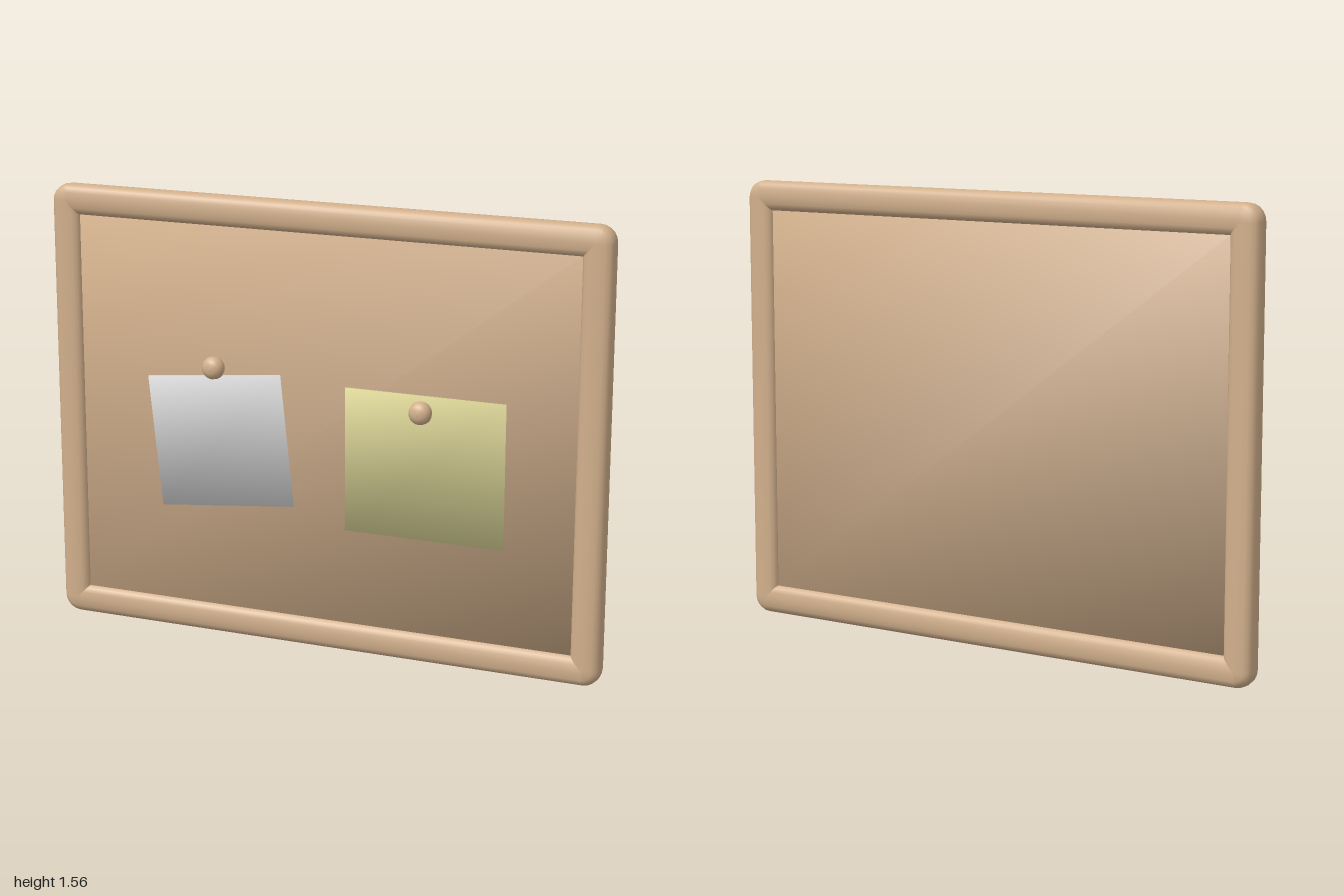
import * as THREE from 'three';
import { toCreasedNormals } from 'three/addons/utils/BufferGeometryUtils.js';

const material = (name, color) => {
  const m = new THREE.MeshStandardMaterial({ color });
  m.name = name;
  return m;
};

// Padded rail section swept around a rectangle: rounded outside, mitred inside
function frameGeometry(halfX, halfY, railWidth, depth) {
  const sides = 16, steps = 5, ring = 4 * (steps + 1);
  const squash = (v) => Math.sign(v) * Math.abs(v) ** 0.72;
  const pos = [], index = [];
  for (let i = 0; i < sides; i++) {
    const a = (i / sides) * Math.PI * 2;
    const inset = (railWidth / 2) * (1 - squash(Math.cos(a)));
    const z = (depth / 2) * squash(Math.sin(a));
    const r = Math.max(0.06 - inset, 0.002);
    for (let c = 0; c < 4; c++) {
      const sx = c === 0 || c === 3 ? 1 : -1, sy = c < 2 ? 1 : -1;
      for (let s = 0; s <= steps; s++) {
        const t = (c + s / steps) * Math.PI / 2;
        pos.push(sx * (halfX - inset - r) + r * Math.cos(t),
          sy * (halfY - inset - r) + r * Math.sin(t), z);
      }
    }
    for (let j = 0; j < ring; j++) {
      const n = (j + 1) % ring, k = ((i + 1) % sides) * ring, b = i * ring;
      index.push(b + j, b + n, k + j, b + n, k + n, k + j);
    }
  }
  const g = new THREE.BufferGeometry();
  g.setAttribute('position', new THREE.Float32BufferAttribute(pos, 3));
  g.setIndex(index);
  g.computeVertexNormals();
  return g;
}

// Thin slab with softly blended edges
const slab = (w, h, d) => toCreasedNormals(new THREE.BoxGeometry(w, h, d), Math.PI);

export function createModel() {
  const group = new THREE.Group();
  const wood = material('tan wood', 0xd2b08c);
  const white = material('white paper', 0xe2e2e2);
  const yellow = material('yellow paper', 0xe4de9e);

  const add = (name, geometry, mat, x, y, z) => {
    const mesh = new THREE.Mesh(geometry, mat);
    mesh.name = name;
    mesh.position.set(x, y, z);
    group.add(mesh);
    return mesh;
  };

  // Frame and board
  add('frame', frameGeometry(1, 0.78, 0.106, 0.09), wood, 0, 0.78, -0.023);
  add('board', slab(1.8, 1.36, 0.044), wood, 0, 0.78, -0.023);

  // Pinned notes
  add('leftNote', slab(0.498, 0.465, 0.006), white, -0.373, 0.705, 0.002).rotation.z = 0.105;
  add('rightNote', slab(0.565, 0.503, 0.006), yellow, 0.372, 0.692, 0.002);

  // Round push pins
  const profile = [[0.012, 0], [0.026, 0.013], [0.036, 0.024], [0.04, 0.037],
    [0.037, 0.053], [0.027, 0.064], [0.014, 0.069], [0, 0.07]]
    .map(([r, h]) => new THREE.Vector2(r, h));
  const pin = new THREE.LatheGeometry(profile, 20).rotateX(Math.PI / 2);
  add('leftPin', pin, wood, -0.38, 0.973, 0);
  add('rightPin', pin, wood, 0.37, 0.894, 0);

  return group;
}
